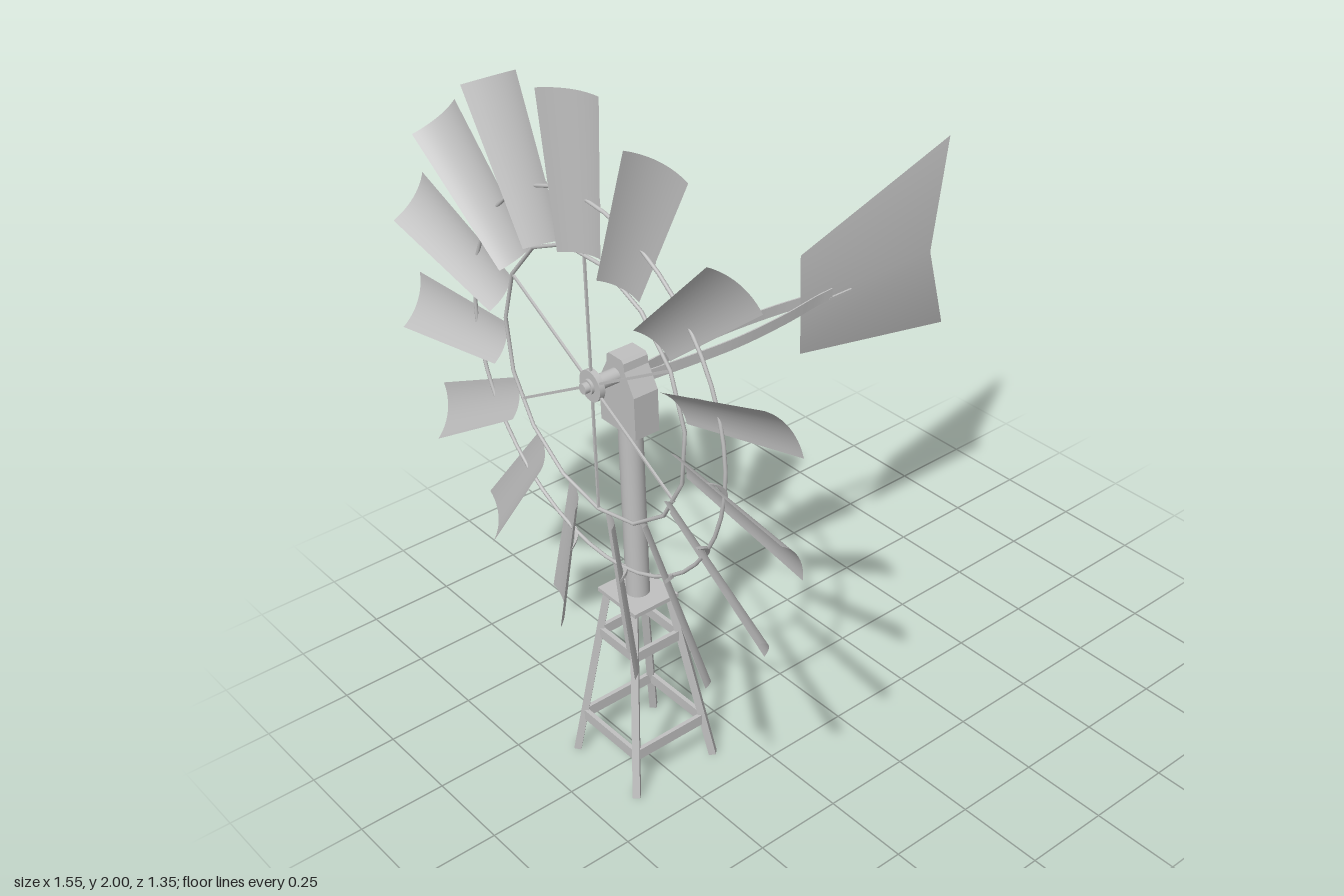
import * as THREE from 'three';

export function createModel() {
  const root = new THREE.Group();
  const metal = new THREE.MeshStandardMaterial({ color: 0xc0c0c0, side: THREE.DoubleSide });
  metal.name = 'galvanised metal';

  const add = (parent, name, geo, x = 0, y = 0, z = 0) => {
    const m = new THREE.Mesh(geo, metal);
    m.name = name;
    m.position.set(x, y, z);
    parent.add(m);
    return m;
  };
  const V = (x, y, z) => new THREE.Vector3(x, y, z);
  // straight bar with a rectangular section between two points of its parent
  const bar = (parent, name, a, b, w, h = w) => {
    const m = add(parent, name, new THREE.BoxGeometry(w, h, a.distanceTo(b)));
    m.position.copy(a).add(b).multiplyScalar(0.5);
    m.quaternion.setFromRotationMatrix(new THREE.Matrix4().lookAt(b, a, V(0, 1, 0)));
    return m;
  };

  // ---- tower ----
  const tower = new THREE.Group();
  tower.name = 'tower';
  tower.position.z = 0.497;
  root.add(tower);
  const spread = (y) => 0.133 - (y / 0.55) * 0.076;
  const corners = [[1, 1], [1, -1], [-1, -1], [-1, 1]];
  const corner = (i, y) => {
    const c = corners[i % 4], s = spread(y);
    return V(c[0] * s, y, c[1] * s);
  };
  for (let i = 0; i < 4; i++) {
    bar(tower, 'leg', corner(i, 0.003), corner(i, 0.545), 0.02);
    bar(tower, 'lowerBrace', corner(i, 0.128), corner(i + 1, 0.128), 0.012, 0.032);
    bar(tower, 'upperBrace', corner(i, 0.415), corner(i + 1, 0.415), 0.012, 0.03);
  }
  add(tower, 'platform', new THREE.BoxGeometry(0.16, 0.012, 0.143), 0, 0.548, 0);
  add(tower, 'mast', new THREE.CylinderGeometry(0.032, 0.032, 0.53, 24), 0, 0.815, 0);

  // ---- gear housing with chamfered shoulders ----
  const profile = new THREE.Shape([
    [-0.07, 1.07], [0.07, 1.07], [0.07, 1.19], [0.036, 1.25], [0.034, 1.272],
    [0.026, 1.28], [-0.026, 1.28], [-0.034, 1.272], [-0.036, 1.25], [-0.07, 1.19],
  ].map(([x, y]) => new THREE.Vector2(x, y)));
  add(root, 'gearHousing',
    new THREE.ExtrudeGeometry(profile, { depth: 0.074, bevelEnabled: false }), 0, 0, 0.46);

  // ---- wheel ----
  const wheel = new THREE.Group();
  wheel.name = 'wheel';
  wheel.position.set(0, 1.227, 0);
  root.add(wheel);
  const axial = (name, r, z0, z1) => {
    const g = new THREE.CylinderGeometry(r, r, z1 - z0, 24).rotateX(Math.PI / 2);
    add(wheel, name, g, 0, 0, (z0 + z1) / 2);
  };
  axial('shaft', 0.02, 0.52, 0.62);
  axial('hub', 0.042, 0.597, 0.613);
  axial('hubCap', 0.014, 0.61, 0.635);

  const innerRing = new THREE.TorusGeometry(0.362, 0.005, 12, 15);
  add(wheel, 'innerRing', innerRing.rotateZ(Math.PI / 2 + Math.PI / 15), 0, 0, 0.607);
  add(wheel, 'outerRing', new THREE.TorusGeometry(0.502, 0.005, 12, 45), 0, 0, 0.605);
  for (let i = 0; i < 6; i++) {
    const a = Math.PI / 2 + (i * Math.PI) / 3;
    bar(wheel, 'spoke', V(0, 0, 0.607), V(Math.cos(a) * 0.36, Math.sin(a) * 0.36, 0.607), 0.006);
  }

  // blade section: an arc, flat at the trailing edge and curling forward at the other
  const R0 = 0.362, R1 = 0.773, ARC = 1.0;
  const section = (t, r) => {
    const k = (r - R0) / (R1 - R0);
    const right = 0.056 + 0.026 * k, width = 0.097 + 0.04 * k;
    const rad = width / Math.sin(ARC), a = ARC * t;
    return [right - rad * Math.sin(a), 0.601 + rad * (1 - Math.cos(a))];
  };
  const bladeGeo = new THREE.PlaneGeometry(1, 1, 12, 1);
  const p = bladeGeo.attributes.position;
  for (let i = 0; i < p.count; i++) {
    const r = R0 + (p.getY(i) + 0.5) * (R1 - R0);
    const [u, z] = section(0.5 - p.getX(i), r);
    p.setXYZ(i, u, r, z);
  }
  bladeGeo.computeVertexNormals();

  // slim lens-shaped rib behind each blade, where it meets the outer ring
  const ribShape = new THREE.Shape();
  const ribPoint = (i, drop) => {
    const [u, z] = section(i / 10, 0.502);
    return [u, -Math.max(0.598, z - 0.002 - drop * Math.sin((i / 10) * Math.PI))];
  };
  ribShape.moveTo(...ribPoint(0, 0));
  for (let i = 1; i <= 10; i++) ribShape.lineTo(...ribPoint(i, 0));
  for (let i = 9; i > 0; i--) ribShape.lineTo(...ribPoint(i, 0.013));
  const ribGeo = new THREE.ExtrudeGeometry(ribShape, { depth: 0.008, bevelEnabled: false })
    .rotateX(-Math.PI / 2).translate(0, 0.498, 0);

  for (let i = 0; i < 15; i++) {
    const arm = new THREE.Group();
    arm.name = 'bladeAssembly';
    arm.rotation.z = (i * Math.PI * 2) / 15;
    wheel.add(arm);
    add(arm, 'blade', bladeGeo);
    add(arm, 'bladeRib', ribGeo);
  }

  // ---- tail boom: two bowed flat straps that meet at the vane ----
  const bow = new THREE.CatmullRomCurve3([
    V(0.014, 0, 0.47), V(0.028, 0, 0.33), V(0.037, 0, 0.17),
    V(0.026, 0, 0), V(0.007, 0, -0.13), V(0.004, 0, -0.18),
  ]);
  for (const side of [1, -1]) {
    const strap = new THREE.BoxGeometry(0.004, 0.03, 1, 1, 1, 30);
    const q = strap.attributes.position;
    for (let i = 0; i < q.count; i++) {
      const c = bow.getPoint(0.5 - q.getZ(i));
      q.setXYZ(i, side * c.x + q.getX(i), q.getY(i), c.z);
    }
    strap.computeVertexNormals();
    add(root, 'tailStrap', strap, 0, 1.2, 0);
  }
  bar(root, 'strapEnd', V(0.004, 1.187, -0.17), V(0.004, 1.187, -0.25), 0.006);

  // ---- tail vane: swallow-tailed sheet with both tips bent sideways ----
  const vane = new THREE.BufferGeometry();
  vane.setAttribute('position', new THREE.Float32BufferAttribute([
    -0.004, 0, -0.075, -0.004, 0.147, -0.075, -0.058, 0.293, -0.673,
    0.003, 0, -0.55, -0.058, -0.293, -0.673, -0.004, -0.147, -0.075,
  ], 3));
  vane.setIndex([0, 1, 3, 1, 2, 3, 0, 3, 5, 5, 3, 4]);
  vane.computeVertexNormals();
  add(root, 'tailVane', vane, 0, 1.198, 0);
  return root;
}
